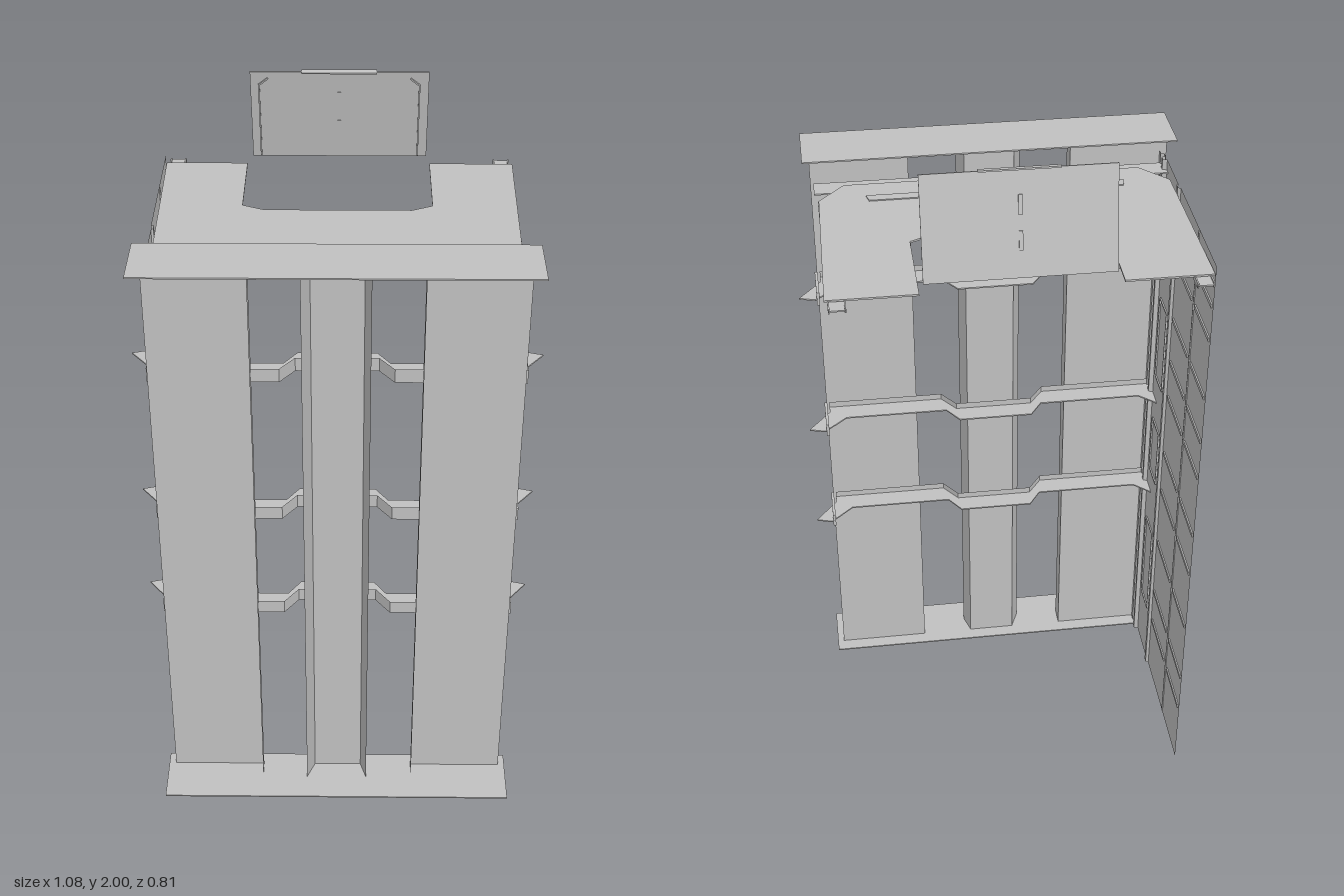
import * as THREE from 'three';

const steel = new THREE.MeshStandardMaterial({ color: 0xc0c0c0, side: THREE.DoubleSide });
steel.name = 'paleGreySteel';

export function createModel() {
  const root = new THREE.Group();
  root.name = 'cabinetFrame';

  const add = (name, geo, parent = root) => {
    const m = new THREE.Mesh(geo, steel);
    m.name = name;
    parent.add(m);
    return m;
  };
  // box given by its limits
  const box = (name, x0, x1, y0, y1, z0, z1, parent) => {
    const g = new THREE.BoxGeometry(x1 - x0, y1 - y0, z1 - z0);
    g.translate((x0 + x1) / 2, (y0 + y1) / 2, (z0 + z1) / 2);
    return add(name, g, parent);
  };
  // horizontal sheet from an x,z outline, top face at y
  const sheet = (name, pts, y, t, parent, holes = []) => {
    const s = new THREE.Shape(pts.map(p => new THREE.Vector2(...p)));
    holes.forEach(h => s.holes.push(new THREE.Path(h.map(p => new THREE.Vector2(...p)))));
    const g = new THREE.ExtrudeGeometry(s, { depth: t, bevelEnabled: false });
    g.rotateX(Math.PI / 2);
    g.translate(0, y, 0);
    return add(name, g, parent);
  };
  // vertical strip following an x,z path
  const strip = (name, path, y0, y1, parent) => {
    const pos = [];
    for (let i = 0; i + 1 < path.length; i++) {
      const [a, b] = [path[i], path[i + 1]];
      pos.push(a[0], y0, a[1], b[0], y0, b[1], b[0], y1, b[1]);
      pos.push(a[0], y0, a[1], b[0], y1, b[1], a[0], y1, a[1]);
    }
    const g = new THREE.BufferGeometry();
    g.setAttribute('position', new THREE.Float32BufferAttribute(pos, 3));
    g.computeVertexNormals();
    return add(name, g, parent);
  };

  // Front plates, panels and centre channel
  box('topPlate', -0.51, 0.507, 1.767, 1.771, 0.225, 0.4);
  box('bottomPlate', -0.51, 0.507, 0.006, 0.01, 0.225, 0.4);
  for (const s of [-1, 1]) {
    strip('frontPanel', s < 0
      ? [[-0.49, 0.265], [-0.222, 0.265], [-0.222, 0.32]]
      : [[0.222, 0.32], [0.222, 0.265], [0.488, 0.265]], 0.01, 1.767);
  }
  strip('centreChannel', [[-0.09, 0.32], [-0.067, 0.265], [0.07, 0.265], [0.087, 0.32]], 0.01, 1.767);

  // Side wall on one side only, with a stepped front section
  strip('sideWall', [[-0.482, -0.37], [-0.482, 0.04], [-0.474, 0.045], [-0.474, 0.06], [-0.48, 0.065],
    [-0.48, 0.205], [-0.468, 0.21], [-0.468, 0.222], [-0.48, 0.228], [-0.48, 0.24],
    [-0.47, 0.245], [-0.47, 0.262]], 0.004, 1.725);
  box('wallSeam', -0.482, -0.479, 0.01, 1.72, -0.184, -0.18);
  // Pressed ribs on the inner face
  for (const y of [0.2, 0.32, 0.52, 0.72, 0.86, 1.06, 1.18, 1.32, 1.5, 1.6]) {
    box('wallRib', -0.482, -0.478, y, y + 0.012, -0.36, -0.2);
    box('wallRib', -0.482, -0.478, y, y + 0.012, -0.16, 0.02);
  }
  // Rounded outlines pressed into the front section
  for (const [y0, y1] of [[0.2, 0.5], [0.7, 0.88], [1.04, 1.3]]) {
    box('wallPocketSide', -0.48, -0.476, y0, y1, 0.085, 0.09);
    box('wallPocketSide', -0.48, -0.476, y0, y1, 0.175, 0.18);
    box('wallPocketEnd', -0.48, -0.476, y0 - 0.005, y0, 0.09, 0.175);
    box('wallPocketEnd', -0.48, -0.476, y1, y1 + 0.005, 0.09, 0.175);
  }

  // Top shelf with a cut-out at the back and a long slot outline
  sheet('shelf', [[-0.48, -0.37], [-0.255, -0.37], [-0.255, -0.113], [-0.197, -0.087], [0.195, -0.087],
    [0.25, -0.113], [0.25, -0.37], [0.48, -0.37], [0.47, 0.13], [0.4, 0.21], [-0.4, 0.21], [-0.472, 0.13]],
  1.705, 0.005);
  sheet('shelfRib', [[-0.342, 0.112], [0.338, 0.112], [0.345, 0.14], [-0.349, 0.14]], 1.708, 0.004);
  for (const s of [-1, 1]) {
    box('shelfRail', s * 0.45 - 0.021, s * 0.45 + 0.021, 1.694, 1.698, -0.408, 0.13);
    box('shelfRailWeb', s * 0.43 - 0.002, s * 0.43 + 0.002, 1.688, 1.702, -0.405, 0.13);
    box('shelfRailWeb', s * 0.47 - 0.002, s * 0.47 + 0.002, 1.688, 1.702, -0.405, 0.13);
  }
  box('shelfFrontLip', -0.4, 0.4, 1.688, 1.702, 0.206, 0.21);
  box('shelfFrontBeam', -0.48, 0.48, 1.69, 1.694, 0.19, 0.25);

  // Cross brackets: a flat web stepped back in the middle, upright flange and splayed ends
  const front = [[-0.48, 0.25], [-0.15, 0.25], [-0.11, 0.195], [0.11, 0.195], [0.15, 0.25], [0.48, 0.25]];
  const back = [[0.48, 0.192], [0.14, 0.192], [0.105, 0.14], [-0.105, 0.14], [-0.14, 0.192], [-0.48, 0.192]];
  for (const y of [0.62, 0.955, 1.4]) {
    const b = new THREE.Group();
    b.name = 'crossBracket';
    root.add(b);
    sheet('bracketWeb', [...front, ...back], y + 0.002, 0.004, b);
    strip('bracketFlange', front, y - 0.02, y + 0.02, b);
    for (const s of [-1, 1]) {
      sheet('bracketEar', [[s * 0.43, 0.195], [s * 0.48, 0.225], [s * 0.542, 0.145], [s * 0.498, 0.132]],
        y + 0.002, 0.004, b);
      box('bracketEndPlate', s * 0.49 - 0.004, s * 0.49 + 0.004, y - 0.02, y + 0.02, 0.137, 0.25, b);
    }
  }

  // Tilted rear hatch, built upright about its lower edge
  const hatch = new THREE.Group();
  hatch.name = 'rearHatch';
  hatch.position.set(0, 1.73, -0.366);
  hatch.rotation.x = Math.atan2(0.052, 0.265);
  root.add(hatch);
  box('hatchPanel', -0.238, 0.24, 0, 0.272, -0.003, 0.001, hatch);
  box('hatchTopLip', -0.1, 0.1, 0.27, 0.274, -0.008, 0.008, hatch);
  strip('hatchRim', [[-0.19, 0.004], [0.19, 0.004]], 0.248, 0.254, hatch);
  for (const s of [-1, 1]) {
    box('hatchRimSide', s * 0.215 - 0.002, s * 0.215 + 0.002, 0.005, 0.235, 0.001, 0.006, hatch);
    const c = box('hatchRimCorner', -0.016, 0.016, -0.002, 0.002, 0.001, 0.006, hatch);
    c.position.set(s * 0.203, 0.243, 0);
    c.rotation.z = -s * 0.7;
  }
  for (const y of [0.07, 0.16]) {
    box('hatchSlotRib', -0.005, 0.005, y, y + 0.05, -0.006, 0.004, hatch);
  }
  return root;
}
